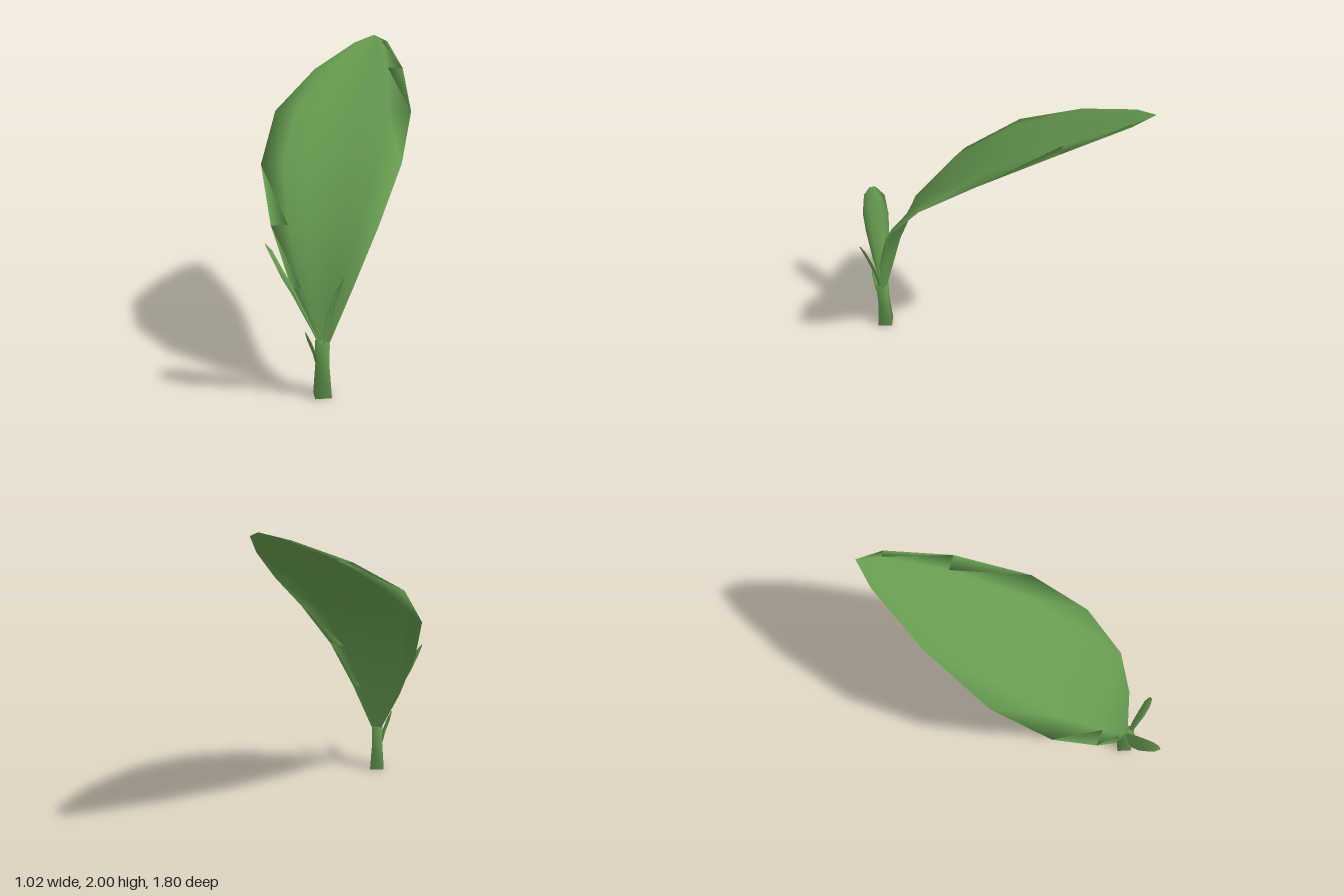
import * as THREE from 'three';

// Closed, thin blade between two edge lines; the rim vertices are shared.
// bend lists the rise of the section from edge to edge, as a share of its width.
function bladeGeometry(left, right, bend, thick) {
  const L = left.map(p => new THREE.Vector3(...p));
  const R = right.map(p => new THREE.Vector3(...p));
  const mid = L.map((p, i) => p.clone().add(R[i]).multiplyScalar(0.5));
  const last = L.length - 1, cols = bend.length - 1, ring = cols * 2, pos = [], idx = [];
  L.forEach((l, i) => {
    const chord = R[i].clone().sub(l);
    const along = mid[Math.min(i + 1, last)].clone().sub(mid[Math.max(i - 1, 0)]);
    const n = chord.clone().cross(along).normalize();
    const w = chord.length();
    for (let k = 0; k < ring; k++) {
      const c = k <= cols ? k : ring - k, u = c / cols;
      const half = (k <= cols ? thick : -thick) * 4 * u * (1 - u);
      const p = l.clone().addScaledVector(chord, u).addScaledVector(n, w * (bend[c] + half));
      pos.push(p.x, p.y, p.z);
    }
  });
  for (let i = 0; i < last; i++) {
    for (let k = 0; k < ring; k++) {
      const a = i * ring + k, b = i * ring + (k + 1) % ring;
      idx.push(a, b, a + ring, b, b + ring, a + ring);
    }
  }
  const g = new THREE.BufferGeometry();
  g.setAttribute('position', new THREE.Float32BufferAttribute(pos, 3));
  g.setIndex(idx);
  g.computeVertexNormals();
  return g;
}

// Small leaf: centre points with half widths [x, y, z, w], spread along one direction.
function leafletGeometry(path, dir) {
  const edge = s => path.map(([x, y, z, w]) => [x + s * w * dir[0], y + s * w * dir[1], z + s * w * dir[2]]);
  return bladeGeometry(edge(-1), edge(1), [0, -0.045, -0.06, -0.045, 0], 0.06);
}

export function createModel() {
  const group = new THREE.Group();
  const green = new THREE.MeshStandardMaterial({ color: 0x659a4f, side: THREE.DoubleSide });
  green.name = 'leaf green';
  const add = (name, geometry) => {
    const mesh = new THREE.Mesh(geometry, green);
    mesh.name = name;
    group.add(mesh);
    return mesh;
  };

  // Stem: slightly waisted four-sided stalk, given by its half widths
  const profile = [[0, 0], [0.05, 0], [0.037, 0.2], [0.039, 0.335], [0, 0.335]];
  const stem = add('stem', new THREE.LatheGeometry(
    profile.map(([half, y]) => new THREE.Vector2(half * Math.SQRT2, y)), 4));
  stem.rotation.y = Math.PI / 4;
  stem.position.set(-0.185, 0, 0.775);

  // Large arching leaf: shallow channel with flattened margins
  const tip = [0.41, 2.0, -0.9];
  add('largeLeaf', bladeGeometry(
    [[-0.21, 0.32, 0.745], [-0.35, 0.63, 0.64], [-0.455, 0.97, 0.47], [-0.49, 1.28, 0.17],
      [-0.37, 1.56, -0.19], [-0.07, 1.79, -0.55], [0.25, 1.95, -0.82], tip],
    [[-0.145, 0.32, 0.775], [0.0, 0.66, 0.76], [0.16, 1.0, 0.68], [0.34, 1.32, 0.45],
      [0.47, 1.58, 0.1], [0.51, 1.81, -0.36], [0.48, 1.96, -0.75], tip],
    [0, 0.012, -0.018, -0.035, -0.022, 0, 0], 0.018));

  // Three young leaves round the stem
  add('wideSideLeaf', leafletGeometry([
    [-0.2, 0.32, 0.772, 0.02], [-0.285, 0.5, 0.785, 0.055], [-0.37, 0.68, 0.8, 0.082],
    [-0.43, 0.79, 0.81, 0.09], [-0.485, 0.91, 0.815, 0.072], [-0.51, 0.96, 0.825, 0.02]], [0, 0, 1]));
  add('frontLeaf', leafletGeometry([
    [-0.175, 0.32, 0.79, 0.015], [-0.16, 0.45, 0.81, 0.022], [-0.135, 0.58, 0.84, 0.027],
    [-0.1, 0.7, 0.87, 0.025], [-0.08, 0.755, 0.888, 0.01]], [0.7, 0, -0.7]));
  add('lowSideLeaf', leafletGeometry([
    [-0.212, 0.17, 0.79, 0.012], [-0.235, 0.28, 0.815, 0.022], [-0.268, 0.37, 0.833, 0.022],
    [-0.29, 0.43, 0.847, 0.006]], [0.5, 0, 0.85]));

  return group;
}
